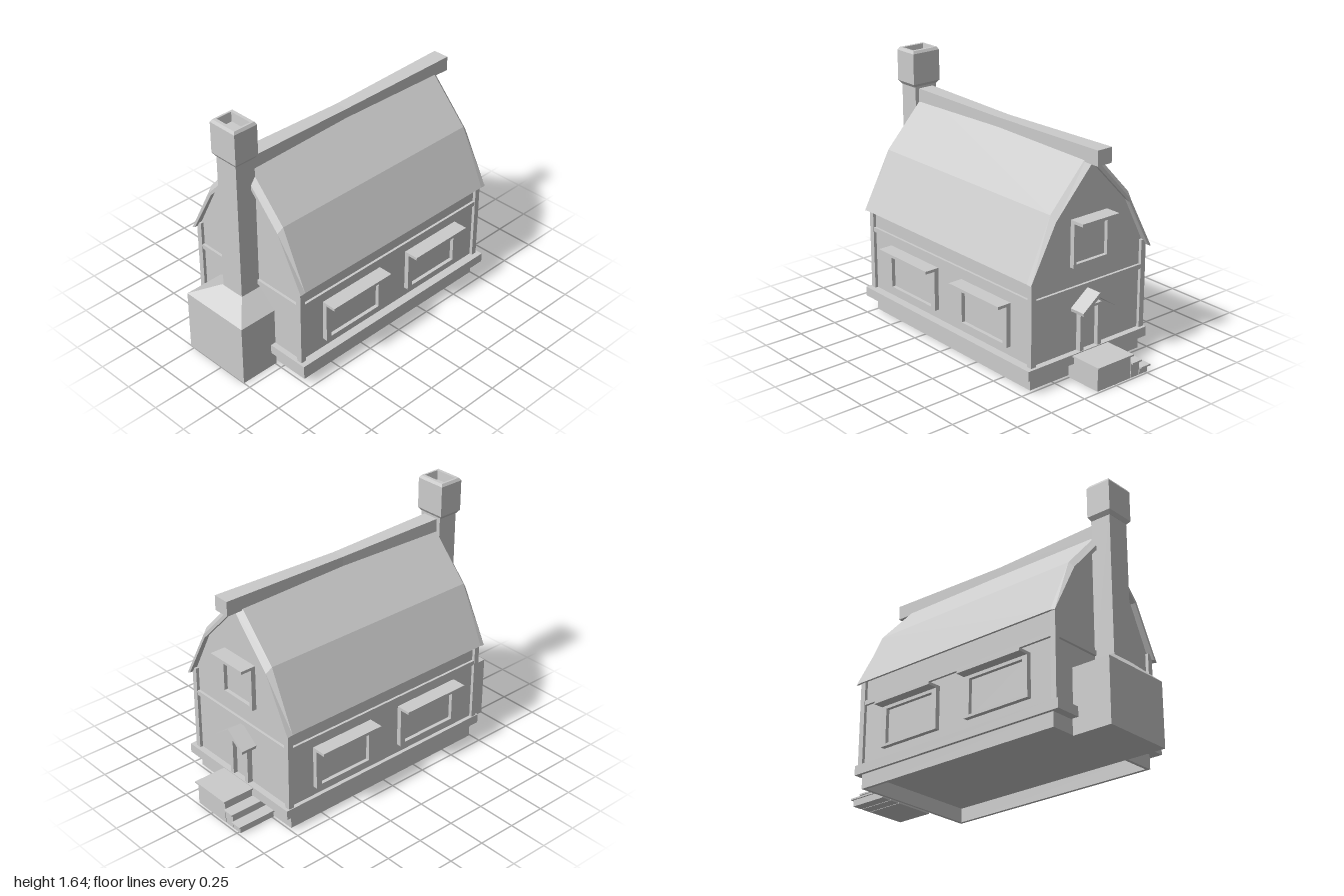
import * as THREE from 'three';

const mat = new THREE.MeshStandardMaterial({ color: 0xcccccc, flatShading: true });

function add(parent, name, geometry) {
  const m = new THREE.Mesh(geometry, mat);
  m.name = name;
  parent.add(m);
  return m;
}

// Box given by its limits on each axis
function box(parent, name, [x0, x1], [y0, y1], [z0, z1]) {
  const m = add(parent, name, new THREE.BoxGeometry(x1 - x0, y1 - y0, z1 - z0));
  m.position.set((x0 + x1) / 2, (y0 + y1) / 2, (z0 + z1) / 2);
  return m;
}

// Skin a series of closed rings, capping both ends
function loft(rings) {
  const n = rings[0].length, pos = [];
  const quad = (a, b, c, d) => pos.push(...a, ...b, ...c, ...a, ...c, ...d);
  for (let k = 0; k < rings.length - 1; k++) {
    const A = rings[k], B = rings[k + 1];
    for (let i = 0; i < n; i++) {
      const j = (i + 1) % n;
      quad(A[i], A[j], B[j], B[i]);
    }
  }
  const S = rings[0], E = rings[rings.length - 1];
  for (let i = 0; i < n / 2 - 1; i++) {
    quad(E[i], E[i + 1], E[n - 2 - i], E[n - 1 - i]);
    quad(S[n - 1 - i], S[n - 2 - i], S[i + 1], S[i]);
  }
  const g = new THREE.BufferGeometry();
  g.setAttribute('position', new THREE.Float32BufferAttribute(pos, 3));
  g.computeVertexNormals();
  return g;
}

// Level rectangle ring for the chimney
const rect = (x0, x1, z0, z1, y) => [[x0, y, z1], [x1, y, z1], [x1, y, z0], [x0, y, z0]];

// Symmetric roof section at x: outer and inner [z, y] from ridge to eave
function roofRing(x, outer, inner) {
  const both = (p) => [...p.slice(1).reverse().map(([z, y]) => [x, y, -z]), ...p.map(([z, y]) => [x, y, z])];
  return [...both(outer), ...both(inner).reverse()];
}

// Frame around an opening, facing +z with the wall at z = 0
function frame(name, w, h, side, top, bottom, depth, lintel) {
  const g = new THREE.Group();
  g.name = name;
  for (const s of [-1, 1]) {
    const x = s * (w / 2 - side / 2);
    box(g, 'framePost', [x - side / 2, x + side / 2], [0, h], [-0.01, depth]);
  }
  const span = [-w / 2 + side, w / 2 - side];
  box(g, 'frameTop', span, [h - top, h], [-0.01, depth]);
  if (bottom) box(g, 'frameBottom', span, [0, bottom], [-0.01, depth]);
  box(g, 'pane', span, [bottom, h - top], [-0.01, 0.006]);
  if (lintel) box(g, 'lintel', [-w / 2, w / 2], [h, h + 0.018], [-0.01, lintel]);
  return g;
}

export function createModel() {
  const house = new THREE.Group();
  house.name = 'cottage';

  // Hollow foundation and the sill above it
  for (const s of [-1, 1]) {
    box(house, 'foundationLong', [-0.73, 0.74], [0.01, 0.1], [s * 0.42 - 0.01, s * 0.42 + 0.01]);
    box(house, 'foundationShort', [s * 0.725 - 0.005, s * 0.725 + 0.015], [0.01, 0.1], [-0.41, 0.41]);
  }
  box(house, 'sill', [-0.78, 0.785], [0.1, 0.16], [-0.45, 0.48]);

  // Gabled walls
  const s = new THREE.Shape();
  [[-0.425, 0.16], [0.425, 0.16], [0.425, 0.72], [0.285, 1.01], [0, 1.3], [-0.285, 1.01], [-0.425, 0.72]]
    .forEach(([x, y], i) => (i ? s.lineTo(x, y) : s.moveTo(x, y)));
  const wall = add(house, 'walls', new THREE.ExtrudeGeometry(s, { depth: 1.49, bevelEnabled: false }));
  wall.rotation.y = Math.PI / 2;
  wall.position.x = -0.745;

  // Corner posts and horizontal beams
  for (const e of [-1, 1]) {
    for (const f of [-1, 1]) {
      box(house, 'cornerPost', [e * 0.747 - 0.018, e * 0.747 + 0.018], [0.16, 0.72], [f * 0.427 - 0.018, f * 0.427 + 0.018]);
    }
    box(house, 'longBeam', [-0.73, 0.73], [0.54, 0.57], [e * 0.425 - 0.016, e * 0.425 + 0.016]);
    box(house, 'gableBeam', [e * 0.747 - 0.015, e * 0.747 + 0.015], [0.537, 0.567], [-0.41, 0.41]);
  }

  // Two-pitch roof with upper ends bevelled
  const outer = [[0, 1.365], [0.3, 1.045], [0.47, 0.68]];
  const inner = [[0, 1.295], [0.283, 1.0], [0.44, 0.69]];
  const endOuter = [[0, 1.32], [0.288, 1.01], [0.468, 0.675]];
  const endInner = [[0, 1.285], [0.278, 0.995], [0.445, 0.685]];
  add(house, 'roof', loft([
    roofRing(-0.782, endOuter, endInner), roofRing(-0.75, outer, inner),
    roofRing(0.75, outer, inner), roofRing(0.785, endOuter, endInner),
  ]));

  // Ridge beam, slimmer in the middle
  const ridge = (x, w, y0, y1) => [[x, y0, -w], [x, y1, -w], [x, y1, w], [x, y0, w]];
  add(house, 'ridgeBeam', loft([
    ridge(-0.76, 0.053, 1.305, 1.393), ridge(0, 0.042, 1.31, 1.38), ridge(0.86, 0.053, 1.3, 1.393),
  ]));

  // Chimney: tapered base, stack and hollow cap
  add(house, 'chimneyBase', loft([
    rect(-1, -0.74, -0.28, 0.2, 0), rect(-1, -0.74, -0.28, 0.2, 0.4), rect(-0.885, -0.74, -0.09, 0.08, 0.51),
  ]));
  box(house, 'chimneyStack', [-0.885, -0.75], [0.45, 1.41], [-0.08, 0.08]);
  add(house, 'chimneyCap', loft([
    rect(-0.887, -0.753, -0.083, 0.083, 1.402), rect(-0.902, -0.738, -0.1, 0.1, 1.425),
    rect(-0.902, -0.738, -0.1, 0.1, 1.62), rect(-0.892, -0.748, -0.09, 0.09, 1.637),
    rect(-0.872, -0.768, -0.077, 0.077, 1.637), rect(-0.868, -0.772, -0.07, 0.07, 1.58),
  ]));

  // Long-side windows
  for (const f of [1, -1]) {
    for (const [x, w] of [[-0.335, 0.47], [0.342, 0.445]]) {
      const win = frame('window', w, 0.255, 0.038, 0.02, 0.016, 0.03, 0.095);
      win.position.set(x, 0.22, f * 0.425);
      if (f < 0) win.rotation.y = Math.PI;
      house.add(win);
    }
  }

  // Gable window and door
  const attic = frame('gableWindow', 0.28, 0.27, 0.022, 0.03, 0.022, 0.03, 0.1);
  attic.position.set(0.745, 0.69, 0);
  const door = frame('door', 0.165, 0.27, 0.028, 0.015, 0, 0.035, 0);
  door.position.set(0.745, 0.16, 0);
  for (const g of [attic, door]) {
    g.rotation.y = Math.PI / 2;
    house.add(g);
  }

  // Pitched door canopy
  const canopy = (x) => roofRing(x, [[0, 0.53], [0.128, 0.435]], [[0, 0.502], [0.125, 0.415]]);
  add(house, 'doorCanopy', loft([canopy(0.74), canopy(0.85)]));

  // Porch and steps, each with a thin tread
  [[0.145, -0.135, 0.155], [-0.13, -0.205, 0.1], [-0.2, -0.275, 0.05]].forEach(([z1, z0, y], i) => {
    box(house, i ? 'step' : 'porch', [0.735, 0.985], [0, y - 0.01], [z0 + 0.01, z1 - (i ? 0 : 0.01)]);
    box(house, 'tread', [0.735, 1], [y - 0.01, y], [z0, z1]);
  });

  return house;
}
